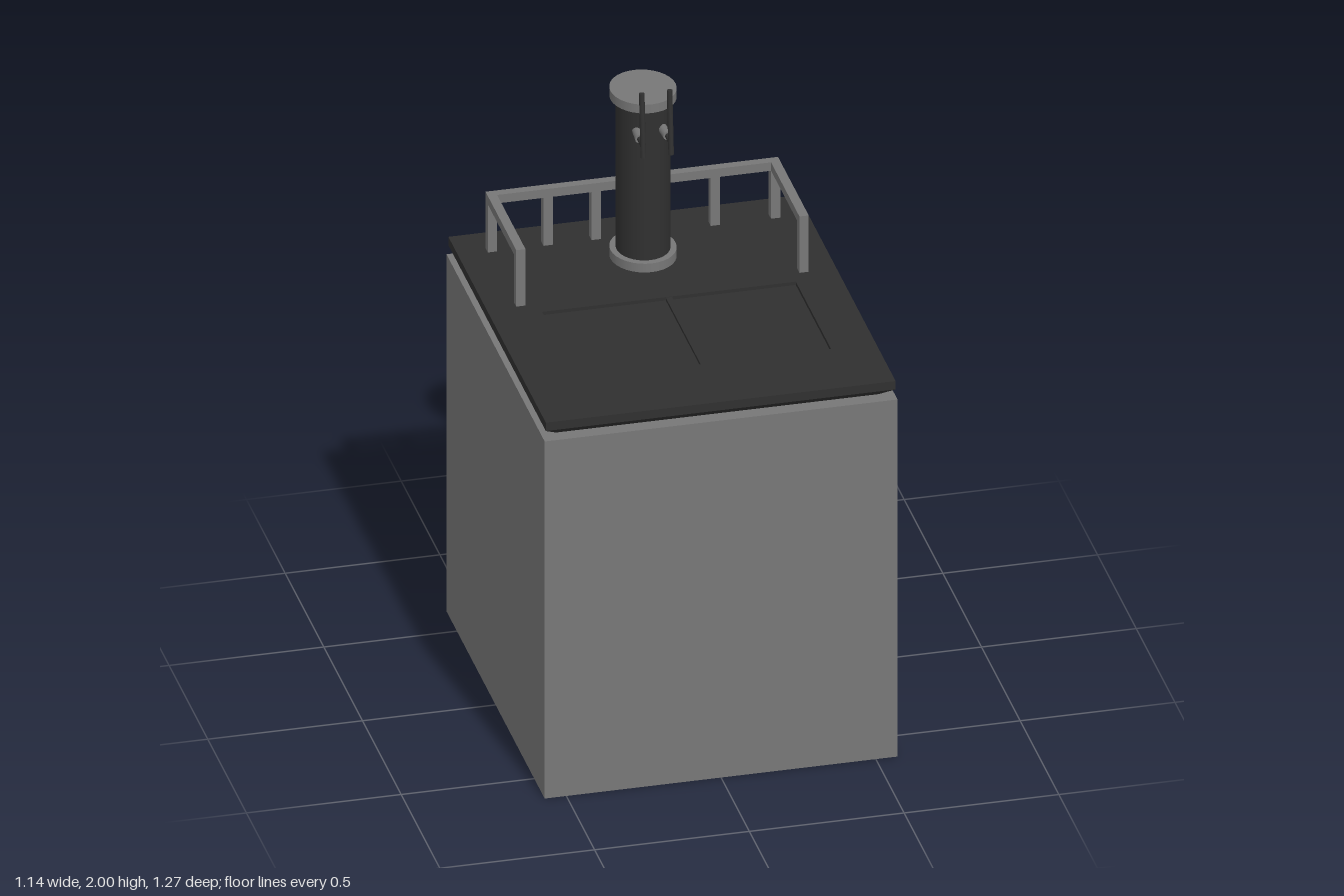
import * as THREE from 'three';

const grey = new THREE.MeshStandardMaterial({ color: 0x777777 });
const dark = new THREE.MeshStandardMaterial({ color: 0x303030 });

export function createModel() {
  const model = new THREE.Group();

  const add = (name, geometry, material, x = 0, y = 0, z = 0, parent = model) => {
    const mesh = new THREE.Mesh(geometry, material);
    mesh.name = name;
    mesh.position.set(x, y, z);
    parent.add(mesh);
    return mesh;
  };
  // box given by its limits on each axis
  const block = (name, material, [x0, x1], [y0, y1], [z0, z1], parent) =>
    add(name, new THREE.BoxGeometry(x1 - x0, y1 - y0, z1 - z0), material,
      (x0 + x1) / 2, (y0 + y1) / 2, (z0 + z1) / 2, parent);

  // main block
  block('body', grey, [-0.57, 0.57], [0, 1.273], [-0.635, 0.635]);

  // roof underside, tapering inwards to the body
  const taper = new THREE.BoxGeometry(1.13, 0.035, 1.26).toNonIndexed();
  const p = taper.attributes.position;
  for (let i = 0; i < p.count; i++) {
    if (p.getY(i) < 0) {
      p.setX(i, p.getX(i) - Math.sign(p.getX(i)) * 0.045);
      p.setZ(i, p.getZ(i) - Math.sign(p.getZ(i)) * 0.045);
    }
  }
  taper.computeVertexNormals();
  add('roofTaper', taper, dark, 0, 1.2895, 0);

  // roof plate with a rectangular hatch opening
  const rect = (s, x0, x1, z0, z1) => s.moveTo(x0, -z1).lineTo(x1, -z1).lineTo(x1, -z0).lineTo(x0, -z0).closePath();
  const outline = rect(new THREE.Shape(), -0.565, 0.565, -0.63, 0.63);
  outline.holes.push(rect(new THREE.Path(), -0.4, 0.42, -0.08, 0.375));
  const plate = new THREE.ExtrudeGeometry(outline, { depth: 0.03, bevelEnabled: false });
  plate.rotateX(-Math.PI / 2);
  add('roofPlate', plate, dark, 0, 1.307, 0);

  // sunken hatch floor and its central rib
  block('hatchFloor', dark, [-0.4, 0.42], [1.305, 1.325], [-0.08, 0.375]);
  block('hatchRib', dark, [0, 0.02], [1.32, 1.335], [-0.08, 0.375]);

  // guard rail around the back of the roof
  const rail = new THREE.Group();
  rail.name = 'guardRail';
  model.add(rail);
  const w = 0.015;
  block('backRail', grey, [-0.47, 0.475], [1.508, 1.538], [-0.53, -0.5], rail);
  for (const x of [-0.455, 0.46]) {
    block('sideRail', grey, [x - w, x + w], [1.508, 1.538], [-0.5, -0.133], rail);
    block('endPost', grey, [x - w, x + w], [1.33, 1.508], [-0.163, -0.133], rail);
  }
  for (const x of [-0.455, -0.275, -0.12, 0.07, 0.265, 0.46]) {
    block('backPost', grey, [x - w, x + w], [1.33, 1.508], [-0.53, -0.5], rail);
  }

  // chimney with a slightly oval section
  const chimney = new THREE.Group();
  chimney.name = 'chimney';
  chimney.position.set(-0.002, 0, -0.367);
  chimney.scale.x = 0.9;
  model.add(chimney);
  const disc = (name, mat, r, y0, y1) =>
    add(name, new THREE.CylinderGeometry(r, r, y1 - y0, 32), mat, 0, (y0 + y1) / 2, 0, chimney);
  disc('chimneyBase', grey, 0.117, 1.335, 1.368);
  disc('chimneyPipe', dark, 0.095, 1.36, 1.91);
  disc('chimneyCap', grey, 0.117, 1.904, 1.935);

  // pair of leaning rods held on short brackets
  const rod = (name, mat, r, a, b) => {
    const from = new THREE.Vector3(...a), to = new THREE.Vector3(...b);
    const dir = to.clone().sub(from);
    const mesh = add(name, new THREE.CylinderGeometry(r, r, dir.length(), 12), mat);
    mesh.position.copy(from).add(to).multiplyScalar(0.5);
    mesh.quaternion.setFromUnitVectors(new THREE.Vector3(0, 1, 0), dir.normalize());
  };
  for (const x of [-0.045, 0.045]) {
    rod('antennaRod', dark, 0.009, [x, 1.782, -0.191], [x, 2, -0.211]);
    rod('bracketArm', dark, 0.009, [x, 1.825, -0.196], [x, 1.825, -0.245]);
    rod('bracketCollar', grey, 0.015, [x, 1.825, -0.235], [x * 0.9, 1.825, -0.3]);
  }

  return model;
}
